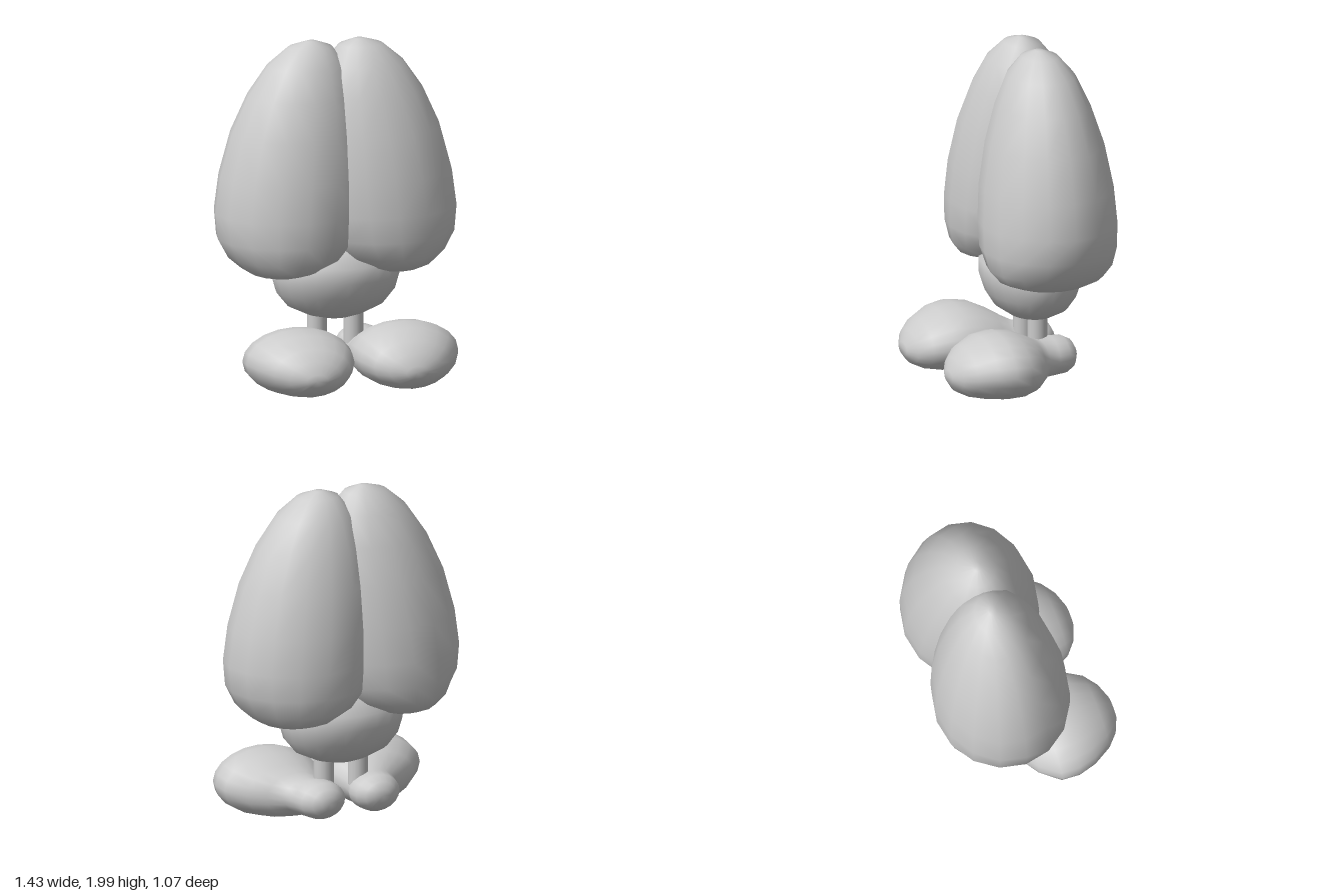
import * as THREE from 'three';

const material = new THREE.MeshStandardMaterial({ color: 0xcccccc });

// Smooth closed skin through elliptical rings [w, cu, cv, ru, rv]; w rises along the axis.
// place(u, v, w) gives the final position; flip reverses the faces for mirrored parts.
function loft(rings, sides, place, flip) {
  const pos = [], index = [];
  const tri = (a, b, c) => (flip ? index.push(a, c, b) : index.push(a, b, c));
  for (const [w, cu, cv, ru, rv] of rings) {
    for (let i = 0; i < sides; i++) {
      const a = (i / sides) * Math.PI * 2;
      pos.push(...place(cu + ru * Math.cos(a), cv + rv * Math.sin(a), w));
    }
  }
  for (let r = 0; r < rings.length - 1; r++) {
    for (let i = 0; i < sides; i++) {
      const a = r * sides + i, b = r * sides + ((i + 1) % sides);
      tri(a, b, b + sides);
      tri(a, b + sides, a + sides);
    }
  }
  // End caps
  const first = rings[0], last = rings[rings.length - 1];
  const c0 = pos.length / 3, c1 = c0 + 1, top = (rings.length - 1) * sides;
  pos.push(...place(first[1], first[2], first[0]), ...place(last[1], last[2], last[0]));
  for (let i = 0; i < sides; i++) {
    const j = (i + 1) % sides;
    tri(c0, j, i);
    tri(c1, top + i, top + j);
  }
  const geo = new THREE.BufferGeometry();
  geo.setAttribute('position', new THREE.Float32BufferAttribute(pos, 3));
  geo.setIndex(index);
  geo.computeVertexNormals();
  return geo;
}

// Lobe rings: height, centre x, half width x, half depth z
const LOBE = [
  [0.636, 0.35, 0.09, 0.09], [0.65, 0.34, 0.17, 0.21], [0.685, 0.325, 0.24, 0.31],
  [0.75, 0.3, 0.34, 0.365], [0.86, 0.28, 0.42, 0.392], [1.01, 0.27, 0.445, 0.395],
  [1.22, 0.25, 0.438, 0.38], [1.47, 0.225, 0.395, 0.335], [1.69, 0.195, 0.325, 0.268],
  [1.86, 0.17, 0.232, 0.195], [1.965, 0.15, 0.128, 0.105], [1.998, 0.142, 0.03, 0.025],
];

// Foot rings from heel to toe: z, centre x, half width, bottom y, top y
const FOOT = [
  [-0.334, 0.17, 0.05, 0.13, 0.21], [-0.31, 0.17, 0.1, 0.085, 0.25],
  [-0.26, 0.175, 0.14, 0.06, 0.277], [-0.19, 0.18, 0.152, 0.055, 0.28],
  [-0.12, 0.205, 0.152, 0.058, 0.27], [-0.06, 0.25, 0.19, 0.036, 0.295],
  [0, 0.285, 0.25, 0.02, 0.33], [0.1, 0.318, 0.312, 0.01, 0.376],
  [0.2, 0.32, 0.317, 0.006, 0.39], [0.3, 0.312, 0.292, 0.015, 0.372],
  [0.4, 0.305, 0.23, 0.035, 0.318], [0.46, 0.305, 0.155, 0.065, 0.26],
  [0.495, 0.305, 0.065, 0.115, 0.19],
];

// Body rings: height, half width x, half depth z
const BODY = [
  [0.366, 0.09, 0.08], [0.385, 0.17, 0.125], [0.44, 0.285, 0.205],
  [0.52, 0.35, 0.255], [0.61, 0.375, 0.285], [0.7, 0.375, 0.285], [0.8, 0.3, 0.22], [0.88, 0.14, 0.1],
];

export function createModel() {
  const group = new THREE.Group();
  const add = (name, geo) => {
    const mesh = new THREE.Mesh(geo, material);
    mesh.name = name;
    group.add(mesh);
    return mesh;
  };

  // Rounded body under the lobes
  add('body', loft(BODY.map(([y, rx, rz]) => [y, -0.135, 0, rz, rx]), 24, (z, x, y) => [x, y, z], false));

  for (const s of [1, -1]) {
    const side = s > 0 ? 'left' : 'right';

    // Tall egg-shaped lobe, meeting its twin on the centre line
    const lobe = LOBE.map(([y, cx, rx, rz]) => [y, -0.137 + s * 0.005, cx, rz, rx]);
    add(side + 'Lobe', loft(lobe, 16, (z, x, y) => [s * x, y, z], s < 0));

    // Short round leg
    const leg = add(side + 'Leg', new THREE.CylinderGeometry(0.058, 0.058, 0.26, 16));
    leg.position.set(s * 0.11, 0.33, -0.135);

    // Foot with a small heel and a big swollen toe; the right toe reaches further
    const reach = s > 0 ? 1 : 1.075;
    const foot = FOOT.map(([z, cx, rx, lo, hi]) => [z > 0 ? z * reach : z, cx, (lo + hi) / 2, rx, (hi - lo) / 2]);
    add(side + 'Foot', loft(foot, 20, (x, y, z) => [s * x, y, z], s < 0));
  }
  return group;
}
